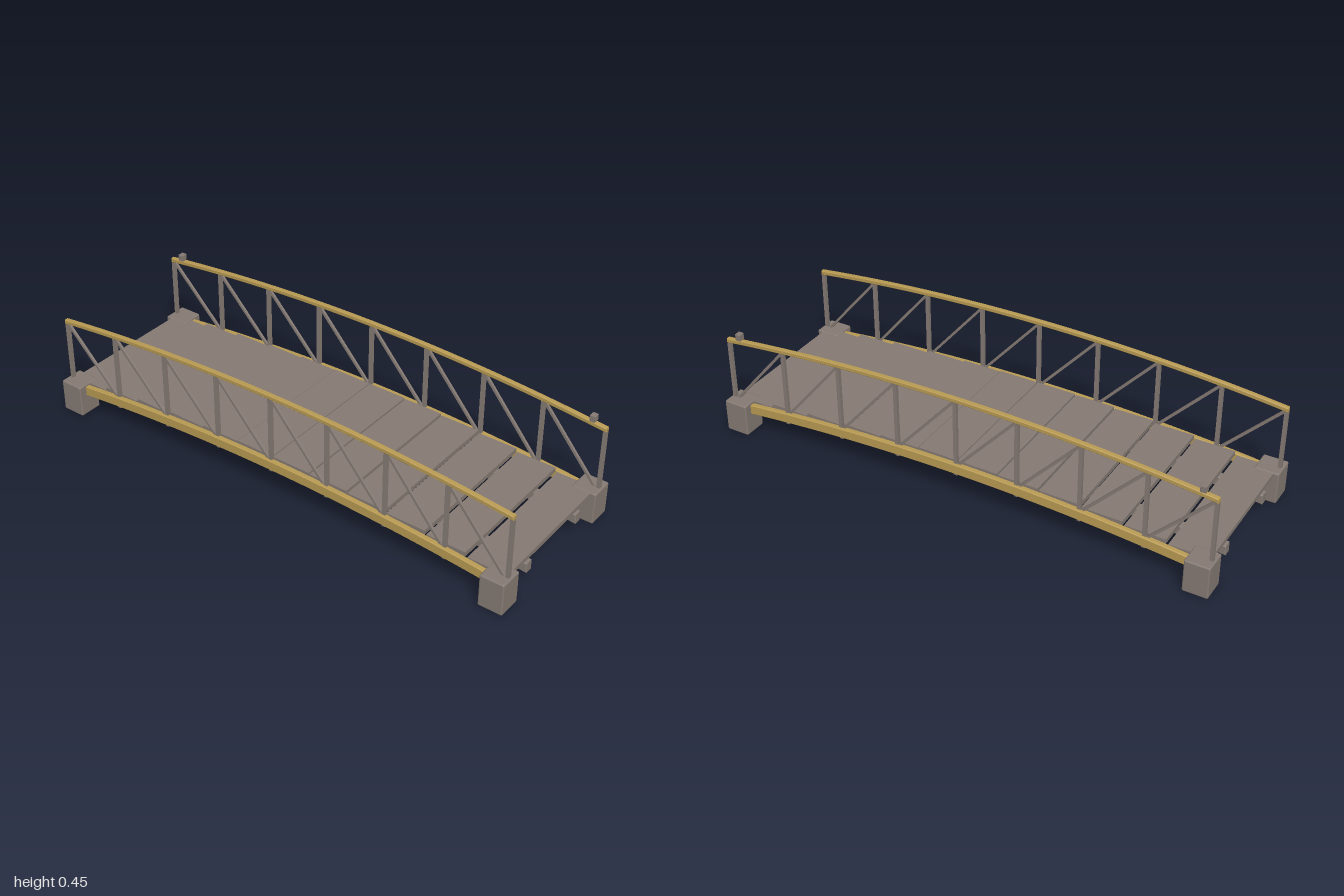
import * as THREE from 'three';
import { RoundedBoxGeometry } from 'three/addons/geometries/RoundedBoxGeometry.js';

export function createModel() {
  const bridge = new THREE.Group();
  bridge.name = 'footbridge';

  const greyWood = new THREE.MeshStandardMaterial({ color: 0x857a73 });
  greyWood.name = 'weathered grey';
  const goldWood = new THREE.MeshStandardMaterial({ color: 0xb89a52 });
  goldWood.name = 'golden wood';

  // Every long member follows the same shallow arch
  const arch = (crown, z) => crown - 0.06 * z * z;

  function add(name, geometry, material, x, y, z) {
    const mesh = new THREE.Mesh(geometry, material);
    mesh.name = name;
    mesh.position.set(x, y, z);
    bridge.add(mesh);
    return mesh;
  }

  // Arched bar of rectangular section with small bevels, running along z
  function archedBar(name, material, x, crown, width, height, halfLength) {
    const steps = 24, bevel = 0.003;
    const points = [];
    for (let i = 0; i <= steps; i++) {
      const z = halfLength * (2 * i / steps - 1);
      points.push(new THREE.Vector2(z, arch(crown, z) - height / 2));
    }
    for (let i = steps; i >= 0; i--) {
      const z = halfLength * (2 * i / steps - 1);
      points.push(new THREE.Vector2(z, arch(crown, z) + height / 2));
    }
    const geometry = new THREE.ExtrudeGeometry(new THREE.Shape(points), {
      depth: width - 2 * bevel, bevelEnabled: true, bevelThickness: bevel,
      bevelSize: bevel, bevelOffset: -bevel, bevelSegments: 1,
    });
    geometry.translate(0, 0, -(width - 2 * bevel) / 2);
    geometry.rotateY(-Math.PI / 2);
    add(name, geometry, material, x, 0, 0);
  }

  // Deck: twelve level planks stepping over the arch, gaps widening outwards
  const pitch = 0.1637;
  for (let i = 0; i < 12; i++) {
    const z = (i - 5.5) * pitch;
    const gap = 0.003 + 0.007 * Math.abs(z);
    add('plank', new THREE.BoxGeometry(0.59, 0.018, pitch - gap), greyWood, 0, arch(0.166, z), z);
  }

  const postZ = Array.from({ length: 9 }, (_, i) => 0.985 - i * 0.24625);

  for (const side of [-1, 1]) {
    const x = side * 0.302;

    // Stringer under the deck, edge beam and handrail
    archedBar('stringer', greyWood, side * 0.1635, 0.14, 0.034, 0.04, 0.985);
    archedBar('edgeBeam', goldWood, side * 0.308, 0.15, 0.021, 0.04, 0.95);
    archedBar('handrail', goldWood, x, 0.437, 0.02, 0.018, 0.992);

    // Footings
    for (const end of [-1, 1]) {
      add('footing', new RoundedBoxGeometry(0.096, 0.13, 0.096, 2, 0.006), greyWood,
        side * 0.302, 0.065, end * 0.952);
    }

    // Posts from just below the beam up to the handrail
    for (const z of postZ) {
      const bottom = Math.abs(z) > 0.9 ? 0.1 : arch(0.12, z);
      const top = arch(0.436, z);
      add('post', new THREE.BoxGeometry(0.014, top - bottom, 0.014), greyWood,
        x, (top + bottom) / 2, z);
    }

    // Diagonal braces, all leaning the same way
    for (let i = 0; i < 8; i++) {
      const z0 = postZ[i] - 0.01, z1 = postZ[i + 1] + 0.004;
      const y0 = Math.max(arch(0.165, z0), 0.12), y1 = arch(0.428, z1);
      const length = Math.hypot(z1 - z0, y1 - y0);
      const brace = add('brace', new THREE.BoxGeometry(0.01, length, 0.01), greyWood,
        x, (y0 + y1) / 2, (z0 + z1) / 2);
      brace.rotation.x = Math.atan2(z1 - z0, y1 - y0);
    }
  }

  // Small blocks on top of one handrail, near each end
  for (const end of [-1, 1]) {
    add('railBlock', new RoundedBoxGeometry(0.025, 0.026, 0.022, 2, 0.002), greyWood,
      0.301, 0.407, end * 0.936);
  }

  return bridge;
}
